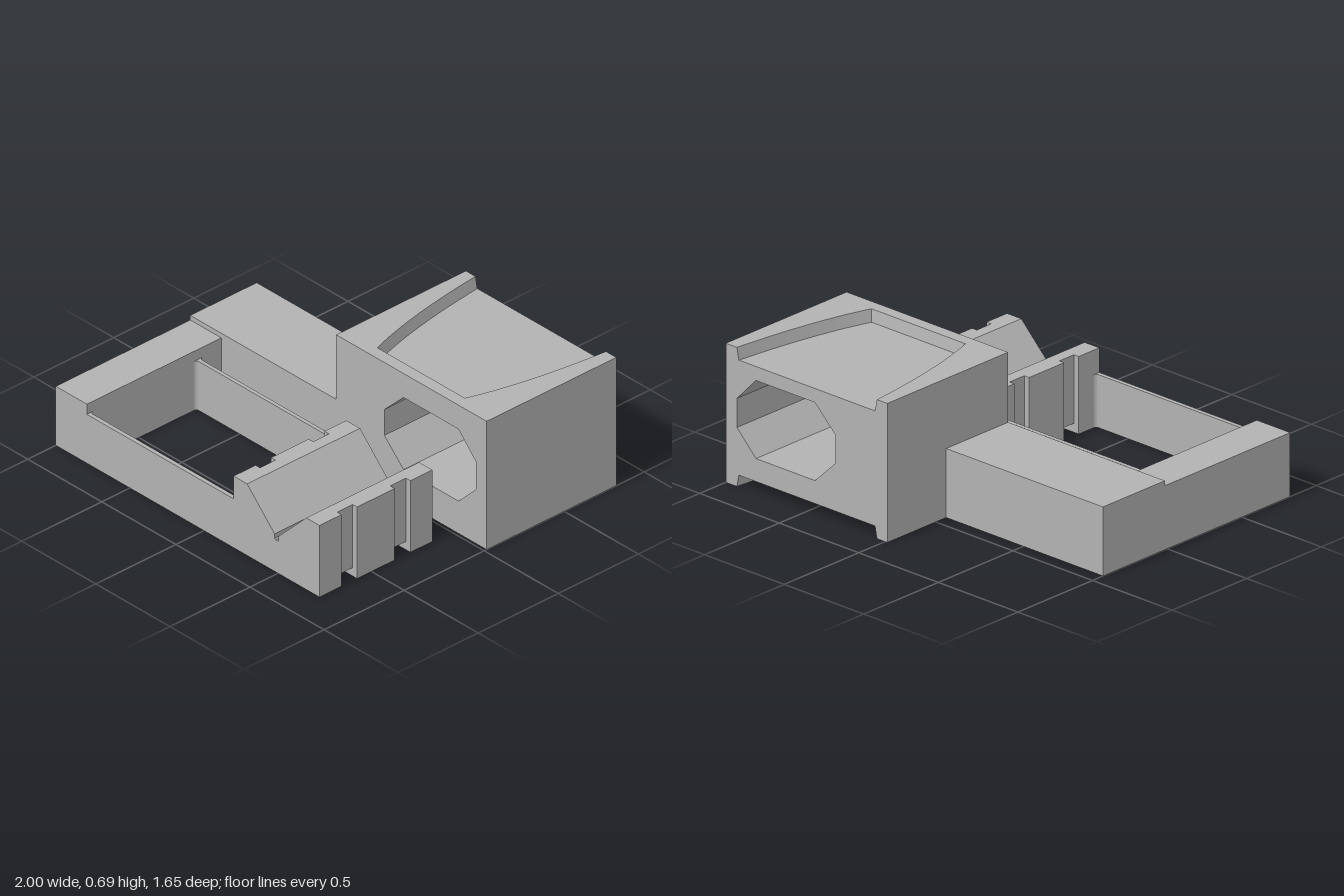
import * as THREE from 'three';
import { toCreasedNormals } from 'three/addons/utils/BufferGeometryUtils.js';

export function createModel() {
  const root = new THREE.Group();
  root.name = 'clampBracket';
  const grey = new THREE.MeshStandardMaterial({ color: 0xb2b2b2 });
  grey.name = 'grey';

  const add = (name, geometry) => {
    const mesh = new THREE.Mesh(geometry, grey);
    mesh.name = name;
    root.add(mesh);
  };
  const box = (name, x0, x1, y0, y1, z0, z1) =>
    add(name, new THREE.BoxGeometry(x1 - x0, y1 - y0, z1 - z0)
      .translate((x0 + x1) / 2, (y0 + y1) / 2, (z0 + z1) / 2));
  const polygon = (pts) => new THREE.Shape(pts.map(([x, y]) => new THREE.Vector2(x, y)));
  // Extrude a front outline (x, y) from z0 to z1
  const alongZ = (shape, z0, z1) =>
    new THREE.ExtrudeGeometry(shape, { depth: z1 - z0, bevelEnabled: false }).translate(0, 0, z0);
  // Extrude a plan outline (x, -z) from y0 to y1
  const alongY = (shape, y0, y1) =>
    new THREE.ExtrudeGeometry(shape, { depth: y1 - y0, bevelEnabled: false, curveSegments: 12 })
      .rotateX(-Math.PI / 2).translate(0, y0, 0);

  // Rear housing: slab with an eight-sided through hole
  const L = -0.015, R = 1, back = -0.825, front = -0.015, H = 0.695, depth = 0.06;
  const core = polygon([[L, depth], [R, depth], [R, H - depth], [L, H - depth]]);
  core.holes.push(polygon([[0.44, 0.175], [0.31, 0.3], [0.31, 0.44], [0.44, 0.565],
    [0.81, 0.565], [0.93, 0.44], [0.93, 0.295], [0.81, 0.175]]));
  add('housingCore', alongZ(core, back, front));

  // Curved tapered recess in the housing's top and bottom, open at the back
  const rim = new THREE.Shape();
  rim.moveTo(L, -front);
  rim.lineTo(L, -back);
  rim.lineTo(0.05, -back);
  rim.quadraticCurveTo(0.095, 0.37, 0.195, 0.078);
  rim.lineTo(0.785, 0.078);
  rim.quadraticCurveTo(0.885, 0.37, 0.93, -back);
  rim.lineTo(R, -back);
  rim.lineTo(R, -front);
  const recessRim = (name, y0, floorY) => {
    const g = alongY(rim, y0, y0 + depth);
    const p = g.attributes.position;
    const draft = 0.012;
    for (let i = 0; i < p.count; i++) {
      const x = p.getX(i), z = p.getZ(i);
      const inner = x > 0.02 && x < 0.98;
      if (!inner || Math.abs(p.getY(i) - floorY) > 0.001) continue;
      p.setX(i, x + (x < 0.49 ? draft : -draft));
      if (z > back + 0.01) p.setZ(i, z - draft);
    }
    add(name, toCreasedNormals(g, 0.3));
  };
  recessRim('topRecessRim', H - depth, H - depth);
  recessRim('bottomRecessRim', 0, depth);

  // L-shaped arm
  box('rearArm', -1, L, 0, 0.345, -0.43, front);
  box('sideArm', -1, -0.79, 0, 0.32, front, 0.825);

  // Thin rails joining the arm to the cradle
  const railTop = 0.265, zIn = 0.14, zOut = 0.803;
  box('rearRail', -0.79, 0.2, 0, railTop, 0.12, zIn);
  box('frontRail', -0.79, 0.2, 0, railTop, zOut, 0.825);

  // Small fillets where the rails meet the arm and cradle
  const r = 0.02;
  for (const [x, z, sx, sz] of [[-0.79, zIn, 1, 1], [-0.79, zOut, 1, -1],
    [0.2, zIn, -1, 1], [0.2, zOut, -1, -1], [-0.79, 0.12, 1, -1]]) {
    const s = new THREE.Shape();
    s.moveTo(x, -z);
    s.lineTo(x + sx * r, -z);
    s.quadraticCurveTo(x, -z, x, -(z + sz * r));
    add('railFillet', toCreasedNormals(alongY(s, 0, railTop), 0.5));
  }

  // V cradle, with strap grooves around its ends and underside
  const cradle = (inset, bottom) => polygon([
    [0.2 + inset, bottom], [0.78 - inset, bottom], [0.78 - inset, 0.388], [0.69, 0.388],
    [0.505, 0.203], [0.505, 0.18], [0.499, 0.173], [0.483, 0.173], [0.477, 0.18],
    [0.477, 0.203], [0.292, 0.388], [0.2 + inset, 0.388]]);
  const cuts = [0.12, 0.257, 0.355, 0.59, 0.687, 0.825];
  for (let i = 0; i < cuts.length - 1; i++) {
    const groove = i % 2 === 1;
    add(groove ? 'cradleStrapGroove' : 'cradleSection',
      alongZ(groove ? cradle(0.03, 0.045) : cradle(0, 0), cuts[i], cuts[i + 1]));
  }
  return root;
}
